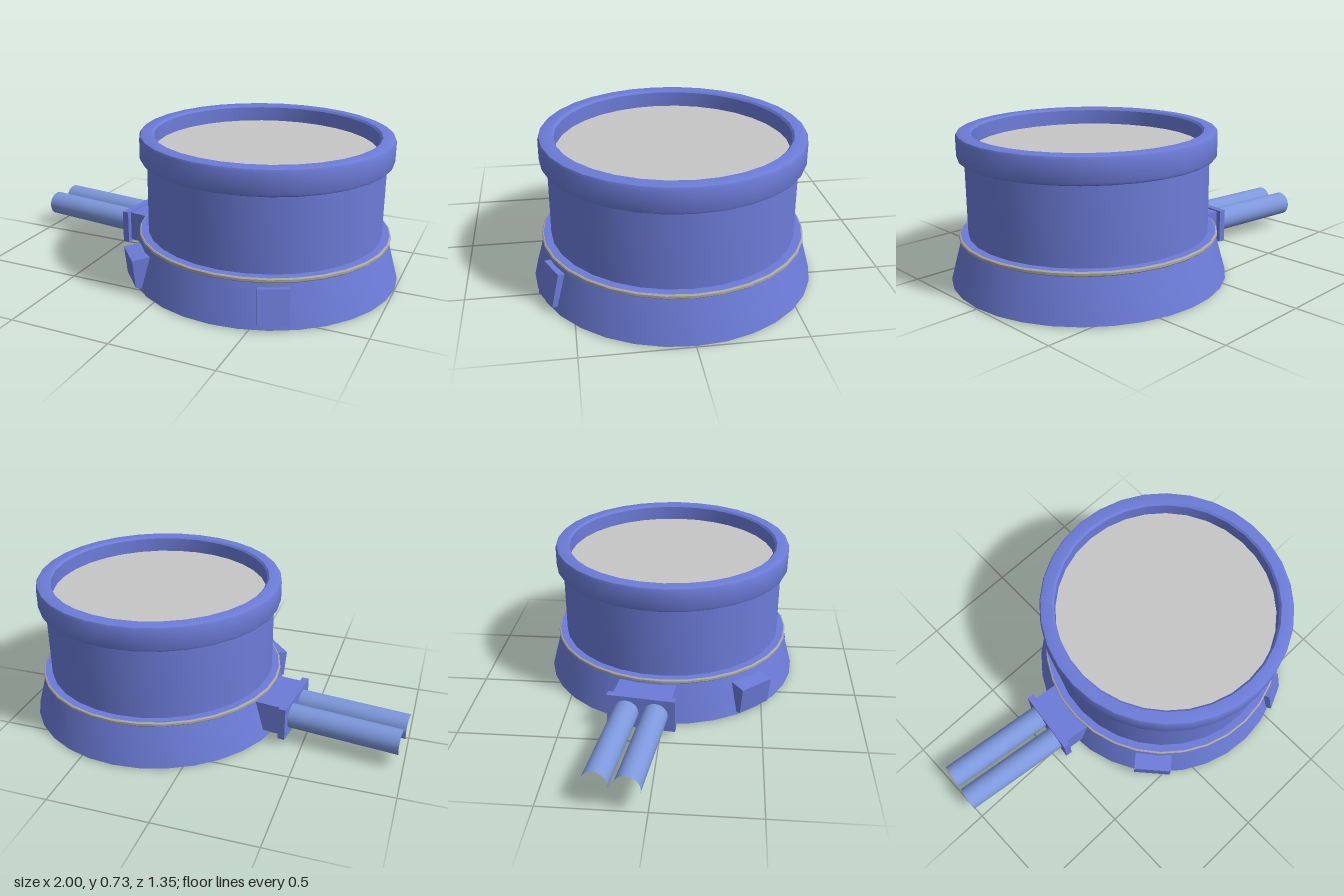
import * as THREE from 'three';
import { toCreasedNormals } from 'three/addons/utils/BufferGeometryUtils.js';

const CENTER_X = 0.325;
const SIDES = 32;

export function createModel() {
  const model = new THREE.Group();
  model.name = 'model';
  const body = new THREE.Group();
  body.name = 'housing';
  body.position.x = CENTER_X;
  model.add(body);

  const mat = (name, color, side = THREE.FrontSide) => {
    const m = new THREE.MeshStandardMaterial({ color, side });
    m.name = name;
    return m;
  };
  const blue = mat('housingBlue', 0x6c7cd8, THREE.DoubleSide);
  const cableBlue = mat('cableBlue', 0x7d98dc);
  const ringGrey = mat('sealGrey', 0xa9a79f, THREE.DoubleSide);
  const discGrey = mat('discGrey', 0xc6c6c6, THREE.DoubleSide);

  const add = (parent, name, geometry, material) => {
    const mesh = new THREE.Mesh(geometry, material);
    mesh.name = name;
    parent.add(mesh);
    return mesh;
  };

  // Turned part from [radius, height] points
  const turned = (name, points, material) => {
    const g = new THREE.LatheGeometry(points.map(([r, y]) => new THREE.Vector2(r, y)), SIDES);
    return add(body, name, toCreasedNormals(g, 0.6), material);
  };

  // Group whose local +x points outward along (dx, dz)
  const outward = (name, dx, dz) => {
    const g = new THREE.Group();
    g.name = name;
    g.rotation.y = Math.atan2(-dz, dx);
    body.add(g);
    return g;
  };

  // Radial [radius, height] outline given a width across
  const slab = (parent, name, outline, width) => {
    const shape = new THREE.Shape(outline.map(([r, y]) => new THREE.Vector2(r, y)));
    const g = new THREE.ExtrudeGeometry(shape, { depth: width, bevelEnabled: false });
    g.translate(0, 0, -width / 2);
    return add(parent, name, g, blue);
  };

  // Flared open skirt, drum and rounded rim
  turned('skirt', [[0.675, 0.005], [0.618, 0.211]], blue);
  turned('drum', [[0.585, 0.21], [0.585, 0.64]], blue);
  turned('rim', [
    [0.585, 0.64], [0.547, 0.64], [0.547, 0.715], [0.557, 0.725], [0.605, 0.725],
    [0.615, 0.721], [0.62, 0.71], [0.62, 0.614], [0.615, 0.603], [0.606, 0.598], [0.585, 0.598],
  ], blue);

  // Seal between skirt and drum, with a narrow ledge above it
  turned('sealRing', [
    [0.585, 0.21], [0.625, 0.21], [0.63, 0.215], [0.63, 0.226], [0.625, 0.23], [0.585, 0.23],
  ], ringGrey);
  turned('ledge', [[0.622, 0.232], [0.585, 0.232]], blue);

  // Recessed top disc
  const disc = add(body, 'topDisc', new THREE.CircleGeometry(0.55, SIDES), discGrey);
  disc.rotation.x = -Math.PI / 2;
  disc.position.y = 0.641;

  // Small boxes set into the skirt
  slab(outward('sideBox', -0.745, 0.667), 'sideBoxBody',
    [[0.6, 0], [0.69, 0.025], [0.705, 0.165], [0.585, 0.18]], 0.19);
  slab(outward('frontBox', 0.41, 0.912), 'frontBoxBody',
    [[0.62, 0.025], [0.688, 0.035], [0.65, 0.192], [0.585, 0.185]], 0.145);

  // Cable outlet: block, flange and two open cables
  const outlet = outward('cableOutlet', -0.992, -0.123);
  slab(outlet, 'outletBlock', [[0.58, 0.045], [0.75, 0.045], [0.75, 0.2], [0.56, 0.2]], 0.29);
  slab(outlet, 'outletFlange', [[0.733, 0.036], [0.768, 0.036], [0.768, 0.207], [0.733, 0.207]], 0.34);
  for (const side of [-1, 1]) {
    const g = new THREE.CylinderGeometry(0.062, 0.062, 0.565, 24, 1, true);
    g.rotateZ(-Math.PI / 2);
    const cable = add(outlet, 'cable', g, cableBlue);
    cable.position.set(1.04, 0.124, side * 0.073);
  }

  return model;
}
